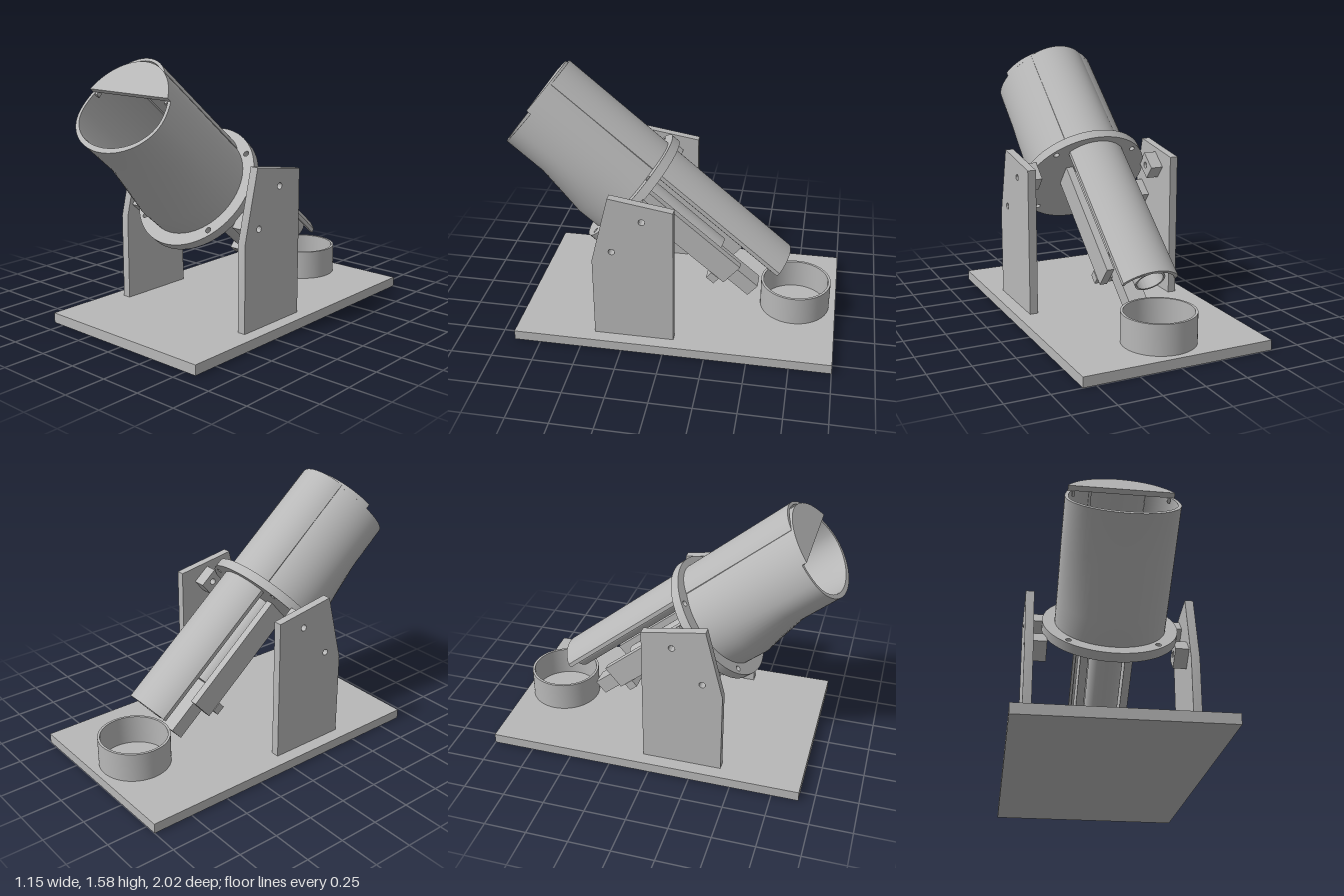
import * as THREE from 'three';
import { toCreasedNormals } from 'three/addons/utils/BufferGeometryUtils.js';

const grey = new THREE.MeshStandardMaterial({ color: 0xb8b8b8 });
grey.name = 'plain grey';
grey.side = THREE.DoubleSide;

const AXIS = 0.4385; // height of the barrel axis in the tilted frame
const TILT = THREE.MathUtils.degToRad(40);

function add(parent, name, geometry, x = 0, y = 0, z = 0) {
  const mesh = new THREE.Mesh(geometry, grey);
  mesh.name = name;
  mesh.position.set(x, y, z);
  parent.add(mesh);
  return mesh;
}

// Box given by its extents
function addBox(parent, name, [x0, x1], [y0, y1], [z0, z1]) {
  return add(parent, name, new THREE.BoxGeometry(x1 - x0, y1 - y0, z1 - z0),
    (x0 + x1) / 2, (y0 + y1) / 2, (z0 + z1) / 2);
}

const polygon = (points) => new THREE.Shape(points.map(([x, y]) => new THREE.Vector2(x, y)));

function drill(shape, x, y, r) {
  shape.holes.push(new THREE.Path().absarc(x, y, r, 0, Math.PI * 2, true));
  return shape;
}

function extrude(shape, depth) {
  return toCreasedNormals(
    new THREE.ExtrudeGeometry(shape, { depth, bevelEnabled: false, curveSegments: 40 }), 0.5);
}

// Extrusion of a (z, y) outline across x, from xMin to xMax
function addSidePlate(parent, name, shape, xMin, xMax) {
  add(parent, name, extrude(shape, xMax - xMin), xMax).rotation.y = -Math.PI / 2;
}

function ringShape(outer, inner) {
  return drill(new THREE.Shape().absarc(0, 0, outer, 0, Math.PI * 2), 0, 0, inner);
}

// Barrel wall: round above, flattening below toward the mouth
function barrelGeometry() {
  const rings = [ // distance along axis, side/top radius, lower radius
    [0.755, 0.322, 0.319], [0.898, 0.322, 0.319], [1.225, 0.324, 0.24], [1.497, 0.324, 0.237],
    [1.497, 0.304, 0.207], [1.225, 0.304, 0.215], [0.898, 0.302, 0.299], [0.755, 0.302, 0.299],
  ];
  const n = 72, position = [], index = [];
  for (const [a, r, low] of rings) {
    for (let i = 0; i < n; i++) {
      const t = (i / n) * Math.PI * 2, s = Math.sin(t);
      position.push(r * Math.cos(t), AXIS + s * (s < 0 ? low : r), a);
    }
  }
  for (let k = 0; k < rings.length - 1; k++) {
    for (let i = 0; i < n; i++) {
      const j = (i + 1) % n, p = k * n, q = p + n;
      index.push(p + i, p + j, q + j, p + i, q + j, q + i);
    }
  }
  const g = new THREE.BufferGeometry();
  g.setAttribute('position', new THREE.Float32BufferAttribute(position, 3));
  g.setIndex(index);
  return toCreasedNormals(g, 0.5);
}

// Curved cover section: shallow arch with short upright edges
function coverShape() {
  const arch = (half, top, edge, sign) => {
    const pts = [];
    const sag = top - edge, R = (half * half + sag * sag) / (2 * sag);
    for (let i = 0; i <= 24; i++) {
      const x = sign * half * (1 - i / 12);
      pts.push([x, top - R + Math.sqrt(R * R - x * x)]);
    }
    return pts;
  };
  return polygon([[0.172, 0.69], ...arch(0.172, 0.794, 0.715, 1), [-0.172, 0.69],
    [-0.155, 0.69], ...arch(0.155, 0.777, 0.703, -1), [0.155, 0.69]]);
}

export function createModel() {
  const model = new THREE.Group();
  model.name = 'launcher';

  // Base and cup
  addBox(model, 'basePlate', [-0.575, 0.575], [0, 0.06], [-1, 0.91]);
  add(model, 'cup', extrude(ringShape(0.215, 0.2), 0.18), 0, 0.06, -0.745).rotation.x = -Math.PI / 2;

  // Tilted assembly: local z runs along the barrel
  const tilted = new THREE.Group();
  tilted.name = 'tiltedAssembly';
  tilted.rotation.x = -TILT;
  model.add(tilted);

  // Upright supports and the drilled blocks that carry the flange
  for (const side of [-1, 1]) {
    const upright = polygon([[0.425, 0.06], [0.425, 0.575], [0.32, 0.995], [-0.055, 0.935], [-0.055, 0.06]]);
    drill(upright, 0.125, 0.86, 0.019);
    drill(upright, 0.305, 0.645, 0.019);
    const c = side * 0.47;
    addSidePlate(model, 'upright', upright, c - 0.025, c + 0.025);
    for (const b of [0.578, 0.298]) {
      const block = polygon([[0.583, b - 0.05], [0.71, b - 0.05], [0.71, b + 0.05], [0.583, b + 0.05]]);
      drill(block, 0.649, b, 0.019);
      const m = side * 0.406;
      addSidePlate(tilted, 'mountBlock', block, m - 0.04, m + 0.04);
    }
  }

  // Flange with bolt holes and feed opening
  const flange = new THREE.Shape().absarc(0, 0, 0.394, 0, Math.PI * 2);
  for (const x of [-0.253, 0.253]) for (const y of [-0.253, 0.253]) drill(flange, x, y, 0.017);
  drill(flange, 0, 0.258, 0.08);
  add(tilted, 'flange', extrude(flange, 0.055), 0, AXIS, 0.7);

  // Barrel, its cover and the half lid over the mouth
  add(tilted, 'barrel', barrelGeometry());
  add(tilted, 'topCover', extrude(coverShape(), 1.761), 0, 0, -0.247);
  const start = Math.asin(0.117 / 0.324);
  const lid = new THREE.Shape().absarc(0, 0, 0.324, start, Math.PI - start);
  add(tilted, 'lid', extrude(lid, 0.03), 0, AXIS, 1.497);
  for (const x of [-0.27, 0.27]) {
    addBox(tilted, 'lidTab', [x - 0.008, x + 0.008], [0.54, 0.575], [1.47, 1.497]);
  }

  // Feed tube under the cover
  add(tilted, 'feedTube', extrude(ringShape(0.09, 0.078), 0.947), 0, 0.697, -0.247);

  // Drive unit: cylinder between rails, sliding bar and crossbar
  const motor = new THREE.CylinderGeometry(0.1, 0.1, 0.614, 40);
  add(tilted, 'driveCylinder', motor, 0, 0.452, 0.393).rotation.x = Math.PI / 2;
  for (const side of [-1, 1]) {
    const c = side * 0.132;
    addBox(tilted, 'rail', [c - 0.023, c + 0.023], [0.408, 0.562], [-0.06, 0.7]);
  }
  addBox(tilted, 'slideBar', [-0.058, 0.058], [0.389, 0.484], [-0.263, 0.1]);
  const crossbar = polygon([[-0.16, -0.02], [0.16, -0.02], [0.16, 0.04], [-0.16, 0.04]]);
  for (const x of [-0.132, 0.132]) drill(crossbar, x, 0.01, 0.012);
  add(tilted, 'crossbar', extrude(crossbar, 0.05), 0, 0.41, 0).rotation.x = Math.PI / 2;

  return model;
}
